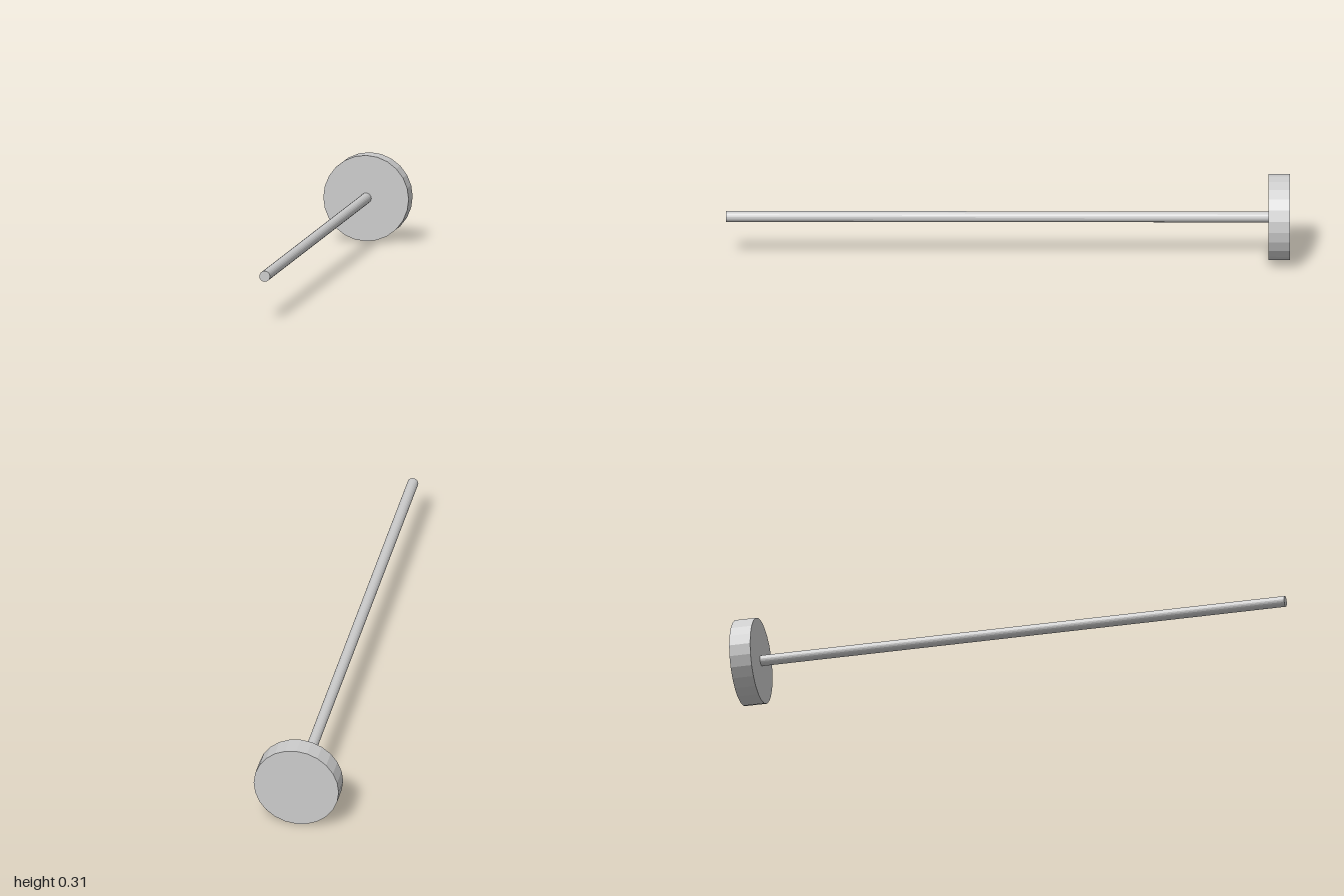
import * as THREE from 'three';

const SIDES = 24;
const HEAD_RADIUS = 2 / 13;
const HEAD_DEPTH = HEAD_RADIUS / 2;
const SHAFT_RADIUS = HEAD_RADIUS / 8;

// Faceted cylinder lying along z between two depths
function rod(name, radius, zBack, zFront, material) {
  const geometry = new THREE.CylinderGeometry(radius, radius, zFront - zBack, SIDES);
  geometry.rotateX(Math.PI / 2);
  const mesh = new THREE.Mesh(geometry, material);
  mesh.name = name;
  mesh.position.set(0, HEAD_RADIUS, (zBack + zFront) / 2);
  return mesh;
}

export function createModel() {
  const group = new THREE.Group();
  group.name = 'pin';
  const material = new THREE.MeshStandardMaterial({ color: 0xcccccc, flatShading: true });

  // Wide disc head at the back, long thin shaft reaching forward
  group.add(rod('head', HEAD_RADIUS, -1, -1 + HEAD_DEPTH, material));
  group.add(rod('shaft', SHAFT_RADIUS, -1 + HEAD_DEPTH, 1, material));
  return group;
}
